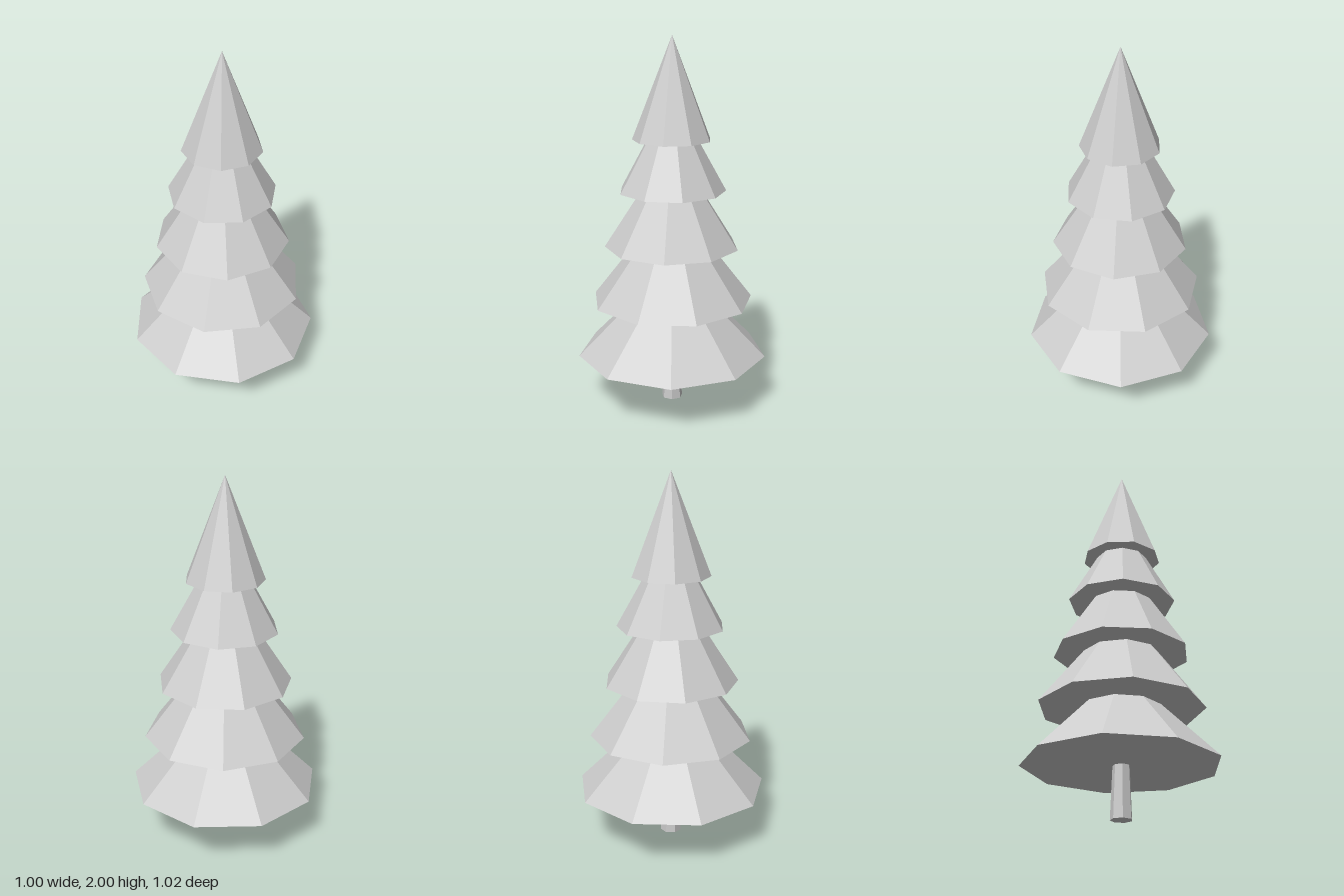
import * as THREE from 'three';

export function createModel() {
  const model = new THREE.Group();
  model.name = 'pineTree';
  const paleGrey = new THREE.MeshStandardMaterial({ color: 0xcccccc });
  paleGrey.name = 'paleGrey';
  const centreX = -0.016;

  // Faceted upright part: base height, height, bottom and top radius, sides, twist about y
  function addPart(name, y, height, bottom, top, sides, twist) {
    const geometry = new THREE.CylinderGeometry(top, bottom, height, sides).toNonIndexed();
    geometry.computeVertexNormals(); // flat facets
    const mesh = new THREE.Mesh(geometry, paleGrey);
    mesh.name = name;
    mesh.position.set(centreX, y + height / 2, 0);
    mesh.rotation.y = Math.PI / 2 - twist;
    model.add(mesh);
  }

  // Tapered seven-sided trunk
  addPart('trunk', 0, 0.3, 0.057, 0.044, 7, 0);

  // Nine-sided foliage cones, each turned a little further: base y, height, radius
  const tiers = [
    [0.275, 0.52, 0.516],
    [0.58, 0.57, 0.439],
    [0.883, 0.56, 0.363],
    [1.187, 0.52, 0.288],
    [1.46, 0.54, 0.211],
  ];
  tiers.forEach(([y, height, radius], i) => {
    addPart('foliageTier' + (i + 1), y, height, radius, 0, 9, 0.4 * i);
  });

  return model;
}
